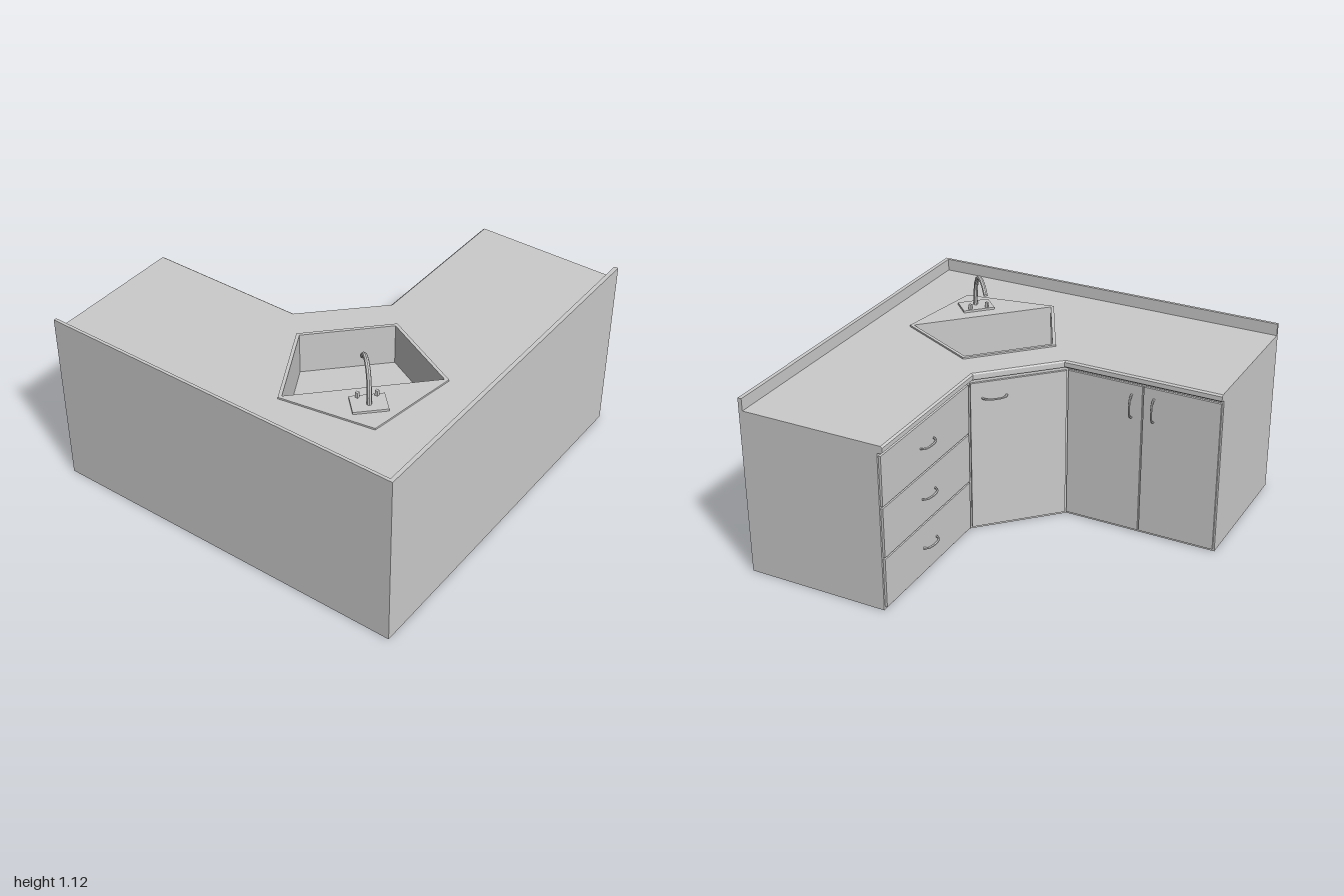
import * as THREE from 'three';

const grey = new THREE.MeshStandardMaterial({ color: 0xcccccc, flatShading: true, side: THREE.DoubleSide });

function add(parent, name, geometry, x = 0, y = 0, z = 0) {
  const mesh = new THREE.Mesh(geometry, grey);
  mesh.name = name;
  mesh.position.set(x, y, z);
  parent.add(mesh);
  return mesh;
}

// L-shaped plan with a cut inner corner; d pulls the cabinet-front edges inward
const plan = (d) => [
  [-1, 0.995], [1, 0.995], [1, 0.195 + d], [0.14 + 0.3 * d, 0.195 + d],
  [-0.2 - d, -0.145 - 0.3 * d], [-0.2 - d, -0.995], [-1, -0.995],
];

// Walls through a stack of [outline, height] sections
function loft(sections) {
  const pos = [];
  for (let s = 0; s + 1 < sections.length; s++) {
    const [lo, y0] = sections[s], [hi, y1] = sections[s + 1];
    lo.forEach((a, i) => {
      const j = (i + 1) % lo.length, b = lo[j], c = hi[j], d = hi[i];
      pos.push(a[0], y0, a[1], b[0], y0, b[1], c[0], y1, c[1]);
      pos.push(a[0], y0, a[1], c[0], y1, c[1], d[0], y1, d[1]);
    });
  }
  const geo = new THREE.BufferGeometry();
  geo.setAttribute('position', new THREE.Float32BufferAttribute(pos, 3));
  geo.computeVertexNormals();
  return geo;
}

// Horizontal face, optionally with a hole, looking up or down
function flat(outline, y, hole = null, up = true) {
  const s = up ? -1 : 1;
  const pts = (list) => list.map(([x, z]) => new THREE.Vector2(x, s * z));
  const shape = new THREE.Shape(pts(outline));
  if (hole) shape.holes.push(new THREE.Path(pts(hole)));
  return new THREE.ShapeGeometry(shape).rotateX(s * Math.PI / 2).translate(0, y, 0);
}

// Corners of the five-sided sink, by index
const sinkCorners = (r, order) => order.map((k) => {
  const a = THREE.MathUtils.degToRad(-9.5 + 72 * k);
  return [-0.4 + r * Math.cos(a), 0.39 + r * Math.sin(a)];
});

// Bowed bar handle, along x or turned upright
function handle(parent, x, y, upright = false) {
  const curve = new THREE.CatmullRomCurve3([
    [-0.065, 0], [-0.05, 0.022], [0, 0.031], [0.05, 0.022], [0.065, 0],
  ].map(([u, w]) => new THREE.Vector3(u, 0, w)));
  const bar = add(parent, 'handle', new THREE.TubeGeometry(curve, 10, 0.006, 6), x, y, 0.012);
  if (upright) bar.rotation.z = Math.PI / 2;
}

// Door or drawer front; local +z points out of the cabinet
function panel(parent, name, x0, x1, y0, y1) {
  add(parent, name, new THREE.BoxGeometry(x1 - x0, y1 - y0, 0.014), (x0 + x1) / 2, (y0 + y1) / 2, 0.005);
}

function side(parent, name, x, z, turn) {
  const g = new THREE.Group();
  g.name = name;
  g.position.set(x, 0, z);
  g.rotation.y = turn;
  parent.add(g);
  return g;
}

export function createModel() {
  const model = new THREE.Group();
  model.name = 'cornerKitchenUnit';

  // Cabinet shell
  add(model, 'cabinetBody', loft([[plan(0.03), 0], [plan(0.03), 0.86]]));
  add(model, 'cabinetBottom', flat(plan(0.03), 0, null, false));

  // Worktop with a softened front edge and a sink cut-out
  const all = [4, 3, 2, 1, 0];
  add(model, 'worktopEdge', loft([
    [plan(0.03), 0.865], [plan(0.01), 0.865], [plan(0), 0.873],
    [plan(0), 0.897], [plan(0.01), 0.905],
  ]));
  add(model, 'worktopRim', loft([[plan(0.03), 0.86], [plan(0.03), 0.865]]));
  add(model, 'worktop', flat(plan(0.01), 0.905, sinkCorners(0.41, all)));
  add(model, 'sideSplashback', new THREE.BoxGeometry(0.016, 0.065, 1.99), -0.992, 0.9375, 0);
  add(model, 'frontSplashback', new THREE.BoxGeometry(1.984, 0.065, 0.022), 0.008, 0.9375, 0.984);

  // Double doors on the side arm
  const doors = side(model, 'doubleDoors', -0.23, -0.5725, Math.PI / 2);
  panel(doors, 'door', -0.414, -0.004, 0.015, 0.848);
  panel(doors, 'door', 0.004, 0.414, 0.015, 0.848);
  for (const x of [-0.06, 0.06]) handle(doors, x, 0.728, true);

  // Door across the corner
  const corner = side(model, 'cornerDoor', -0.0405, 0.0355, 0.75 * Math.PI);
  panel(corner, 'door', -0.255, 0.255, 0.015, 0.848);
  handle(corner, -0.13, 0.76);

  // Three drawers on the front arm
  const drawers = side(model, 'drawers', 0.5745, 0.225, Math.PI);
  for (let i = 0; i < 3; i++) {
    const y = 0.015 + i * 0.28;
    panel(drawers, 'drawerFront', -0.415, 0.415, y, y + 0.27);
    handle(drawers, 0, y + 0.14);
  }

  // Sink: deck plate, four-sided bowl and drain
  const bowl = sinkCorners(0.402, [0, 4, 3, 1]);
  const outer = sinkCorners(0.423, all);
  add(model, 'sinkRim', loft([[outer, 0.905], [outer, 0.914]]));
  add(model, 'sinkDeck', flat(outer, 0.914, bowl));
  add(model, 'sinkBowl', loft([[bowl, 0.914], [bowl, 0.69]]));
  add(model, 'sinkFloor', flat(bowl, 0.69));
  for (let i = 0; i < 4; i++) {
    const a = i * Math.PI / 2;
    add(model, 'drainHole', new THREE.CylinderGeometry(0.009, 0.009, 0.004, 10),
      -0.403 + 0.025 * Math.cos(a), 0.691, 0.405 + 0.025 * Math.sin(a));
  }

  // Tap: mounting plate, two knobs and an arched spout, facing the bowl
  const tap = side(model, 'tap', -0.575, 0.57, 0.75 * Math.PI);
  add(tap, 'tapPlate', new THREE.BoxGeometry(0.17, 0.012, 0.12), 0, 0.92, 0);
  for (const x of [-0.046, 0.046]) {
    const knob = add(tap, 'tapKnob', new THREE.BoxGeometry(0.015, 0.03, 0.015), x, 0.94, 0.048);
    knob.rotation.y = Math.PI / 4;
  }
  const arch = new THREE.CatmullRomCurve3([
    [-0.01, 0.92], [-0.007, 0.99], [0.01, 1.06], [0.05, 1.108], [0.09, 1.112], [0.135, 1.102], [0.185, 1.055],
  ].map(([w, y]) => new THREE.Vector3(0, y, w)));
  add(tap, 'tapSpout', new THREE.TubeGeometry(arch, 8, 0.012, 8));

  return model;
}
